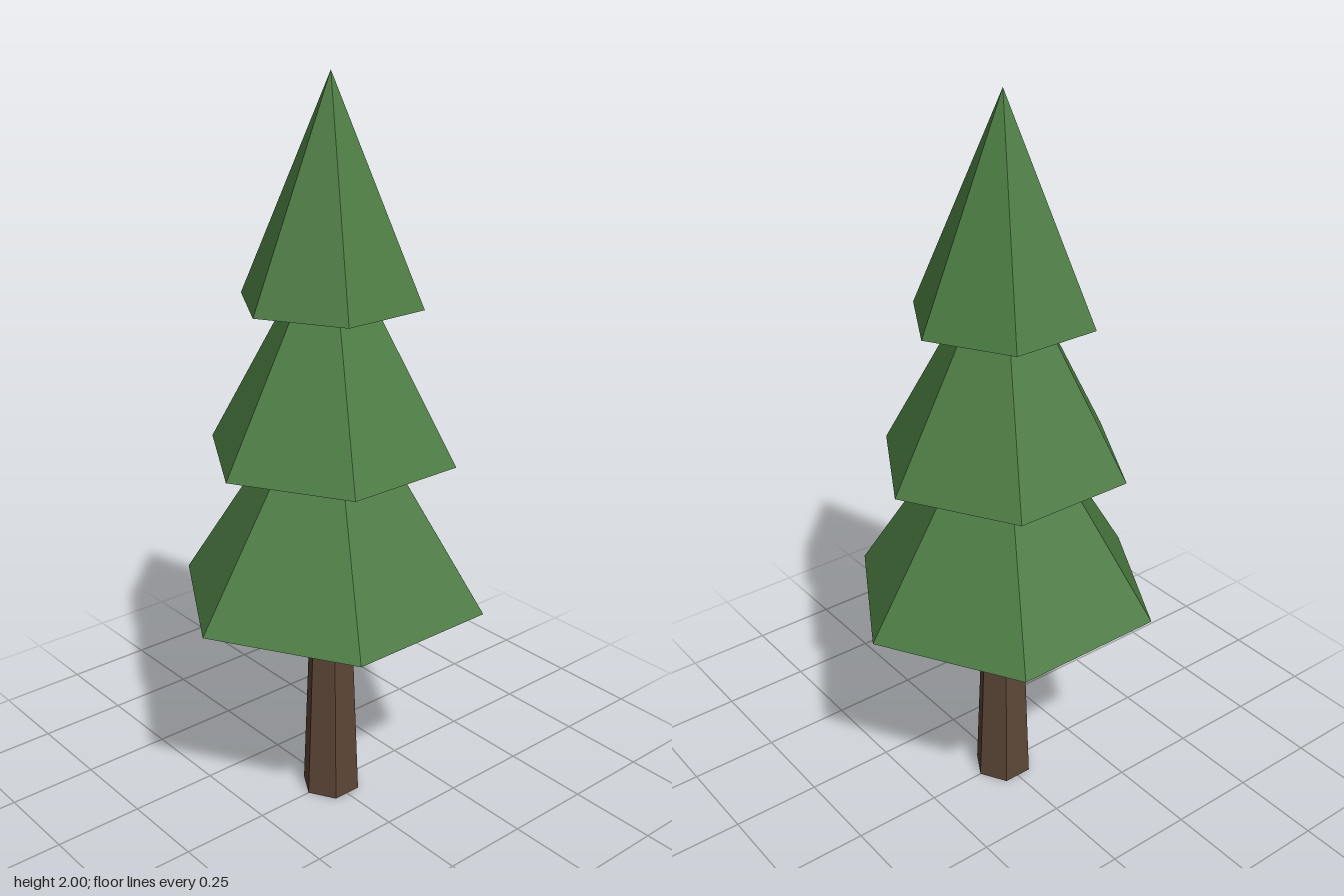
import * as THREE from 'three';

export function createModel() {
  const tree = new THREE.Group();
  tree.name = 'pineTree';

  const bark = new THREE.MeshStandardMaterial({ color: 0x5c4636, flatShading: true });
  const needles = new THREE.MeshStandardMaterial({ color: 0x4a7a40, flatShading: true });

  // Adds a six-sided frustum or cone standing on y = base
  function addTier(name, topRadius, bottomRadius, base, height, material) {
    const geometry = new THREE.CylinderGeometry(topRadius, bottomRadius, height, 6);
    geometry.translate(0, base + height / 2, 0);
    const mesh = new THREE.Mesh(geometry, material);
    mesh.name = name;
    tree.add(mesh);
  }

  // Tapered trunk, its top tucked just inside the lowest foliage
  addTier('trunk', 0.056, 0.083, 0, 0.67, bark);

  // Three overlapping foliage cones, shrinking upwards
  addTier('lowerFoliage', 0, 0.427, 0.625, 0.67, needles);
  addTier('middleFoliage', 0, 0.34, 1.03, 0.617, needles);
  addTier('upperFoliage', 0, 0.246, 1.435, 0.565, needles);

  return tree;
}
